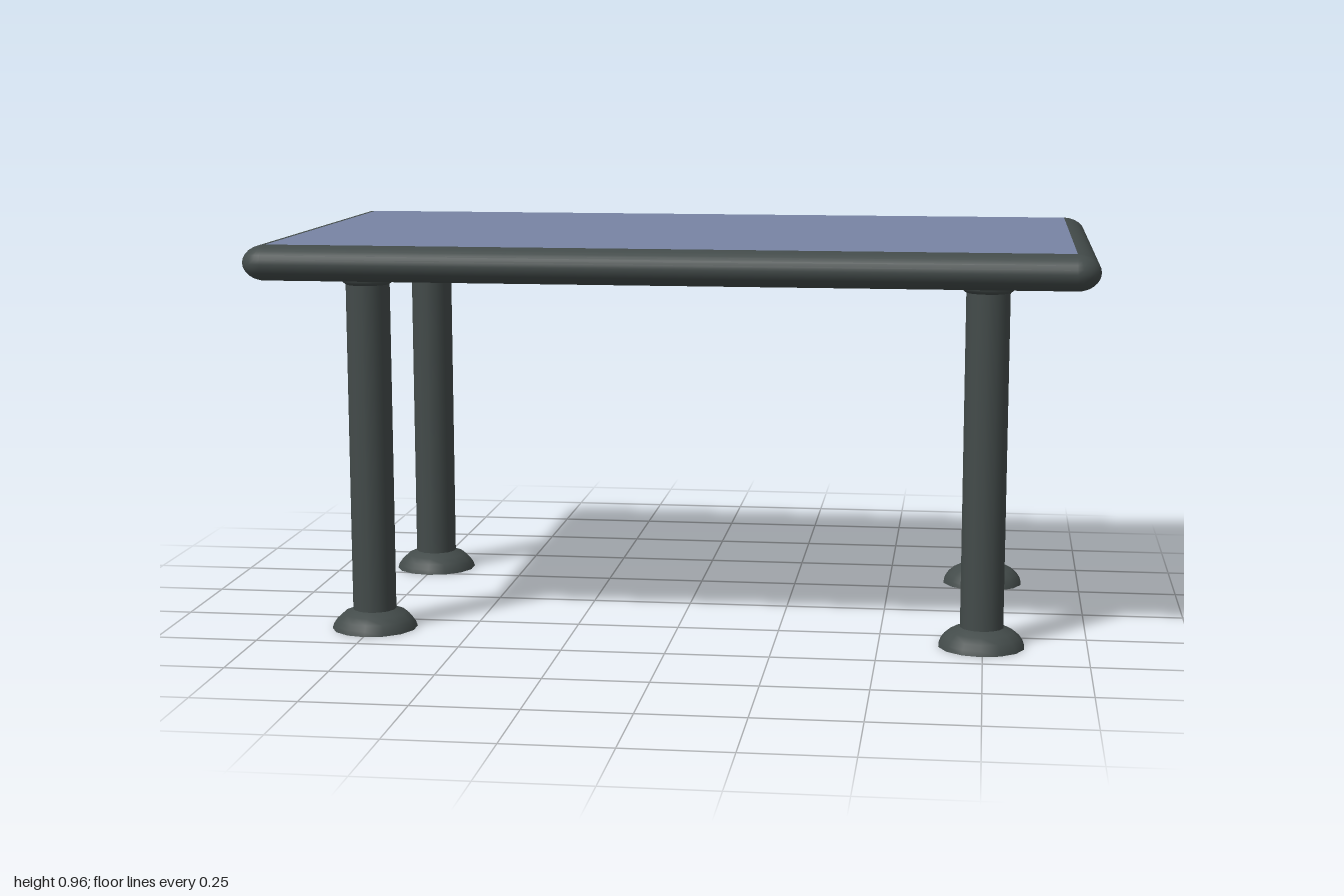
import * as THREE from 'three';

const HX = 0.945, HZ = 0.512;       // flat part of the tabletop, half sizes
const EDGE = 0.055, HALF_T = 0.0425; // rounded rim: overhang and half thickness
const MID_Y = 0.922;
const SIDES = 14;

// Rounded rim: a half-ellipse section swept around a rectangle with round corners
function rimGeometry(arcSteps = 6, sectionSteps = 12) {
  const pos = [], nor = [], idx = [];
  const corners = [[1, 1], [-1, 1], [-1, -1], [1, -1]];
  const ring = 4 * (arcSteps + 1);
  for (let j = 0; j <= sectionSteps; j++) {
    const t = -Math.PI / 2 + Math.PI * j / sectionSteps;
    const c = Math.cos(t), s = Math.sin(t);
    corners.forEach(([sx, sz], q) => {
      for (let i = 0; i <= arcSteps; i++) {
        const a = (q + i / arcSteps) * Math.PI / 2;
        const dx = Math.cos(a), dz = Math.sin(a);
        pos.push(sx * HX + dx * EDGE * c, MID_Y + HALF_T * s, sz * HZ + dz * EDGE * c);
        const n = new THREE.Vector3(dx * c / EDGE, s / HALF_T, dz * c / EDGE).normalize();
        nor.push(n.x, n.y, n.z);
      }
    });
  }
  for (let j = 0; j < sectionSteps; j++) {
    for (let i = 0; i < ring; i++) {
      const k = (i + 1) % ring;
      const a = j * ring + i, b = j * ring + k, c = a + ring, d = b + ring;
      idx.push(a, c, b, b, c, d);
    }
  }
  const g = new THREE.BufferGeometry();
  g.setAttribute('position', new THREE.Float32BufferAttribute(pos, 3));
  g.setAttribute('normal', new THREE.Float32BufferAttribute(nor, 3));
  g.setIndex(idx);
  return g;
}

const lathe = (pts) => new THREE.LatheGeometry(pts.map(([r, y]) => new THREE.Vector2(r, y)), SIDES);

export function createModel() {
  const frameMat = new THREE.MeshStandardMaterial({ color: 0x434b4a });
  frameMat.name = 'dark grey frame';
  const topMat = new THREE.MeshStandardMaterial({ color: 0x7884a4 });
  topMat.name = 'slate blue surface';

  const table = new THREE.Group();
  table.name = 'table';
  const add = (parent, name, geo, mat) => {
    const m = new THREE.Mesh(geo, mat);
    m.name = name;
    parent.add(m);
    return m;
  };

  // Tabletop: rim, upper surface and underside
  add(table, 'rim', rimGeometry(), frameMat);
  const surface = add(table, 'surface', new THREE.PlaneGeometry(2 * HX, 2 * HZ), topMat);
  surface.rotation.x = -Math.PI / 2;
  surface.position.y = MID_Y + HALF_T;
  const underside = add(table, 'underside', new THREE.PlaneGeometry(2 * HX, 2 * HZ), frameMat);
  underside.rotation.x = Math.PI / 2;
  underside.position.y = MID_Y - HALF_T;

  // Legs: flared foot, straight post and small collar under the top
  const foot = lathe([[0.105, 0], [0.101, 0.012], [0.092, 0.025], [0.077, 0.038], [0.053, 0.048]]);
  const sole = new THREE.CircleGeometry(0.105, SIDES).rotateX(Math.PI / 2).rotateY(Math.PI / 2);
  const post = lathe([[0.053, 0.046], [0.053, 0.858]]);
  const collar = lathe([[0.053, 0.855], [0.06, 0.86], [0.064, 0.868], [0.064, 0.881]]);
  for (const [sx, side] of [[1, 'Left'], [-1, 'Right']]) {
    for (const [sz, end] of [[1, 'front'], [-1, 'back']]) {
      const leg = new THREE.Group();
      leg.name = `${end}${side}Leg`;
      leg.position.set(sx * 0.747, 0, sz * 0.334);
      add(leg, 'foot', foot, frameMat);
      add(leg, 'sole', sole, frameMat);
      add(leg, 'post', post, frameMat);
      add(leg, 'collar', collar, frameMat);
      table.add(leg);
    }
  }
  return table;
}
